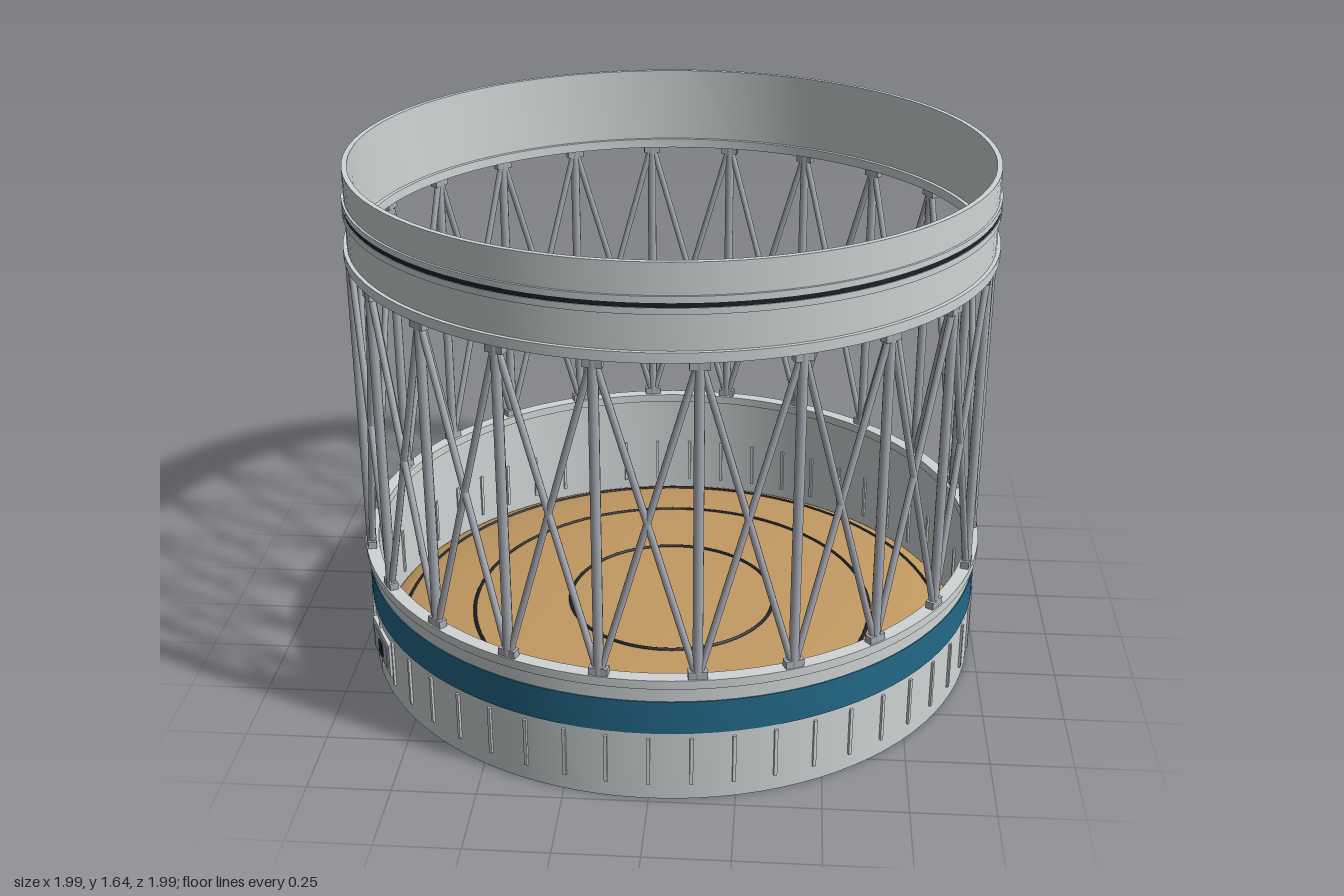
import * as THREE from 'three';
import { toCreasedNormals } from 'three/addons/utils/BufferGeometryUtils.js';

const SEG = 96;
const mat = (name, color, side = THREE.FrontSide) => {
  const m = new THREE.MeshStandardMaterial({ color, side });
  m.name = name;
  return m;
};

export function createModel() {
  const shell = mat('light grey shell', 0xd0d5d6);
  const metal = mat('grey strut metal', 0xa9adb5);
  const blue = mat('blue band', 0x236a8a);
  const tan = mat('tan bulkhead', 0xc39a62, THREE.DoubleSide);
  const dark = mat('dark seal', 0x1c2229);

  const model = new THREE.Group();
  model.name = 'interstage';

  const add = (name, geometry, material, parent = model) => {
    const mesh = new THREE.Mesh(geometry, material);
    mesh.name = name;
    parent.add(mesh);
    return mesh;
  };
  const group = (name) => {
    const g = new THREE.Group();
    g.name = name;
    model.add(g);
    return g;
  };

  // Hollow ring with a rectangular section
  const ring = (name, inner, outer, y0, y1, material) => {
    const section = [[outer, y0], [outer, y1], [inner, y1], [inner, y0], [outer, y0]];
    const lathe = new THREE.LatheGeometry(section.map(([x, y]) => new THREE.Vector2(x, y)), SEG);
    return add(name, toCreasedNormals(lathe, 0.6), material);
  };

  // Point on the wall, angle measured from the front (+z) towards +x
  const polar = (angle, r, y) => new THREE.Vector3(Math.sin(angle) * r, y, Math.cos(angle) * r);

  // Lower and upper skirts
  ring('lowerSkirt', 0.968, 0.984, 0, 0.4, shell);
  ring('upperSkirt', 0.968, 0.984, 1.38, 1.645, shell);
  ring('paintedBand', 0.98, 0.987, 0.225, 0.332, blue);

  // Flanges where the truss joins the skirts
  ring('lowerFlange', 0.955, 0.996, 0.38, 0.408, shell);
  ring('upperFlange', 0.955, 0.996, 1.372, 1.402, shell);

  // Separation joint: two lips around a dark seal
  ring('jointLowerLip', 0.975, 0.991, 1.505, 1.523, shell);
  ring('jointSeal', 0.975, 0.9885, 1.523, 1.537, dark);
  ring('jointUpperLip', 0.975, 0.991, 1.537, 1.555, shell);

  // Shallow domed bulkhead with seam rings
  const domeY = (r) => 0.004 + 0.1 * Math.sqrt(Math.max(0, 1 - (r / 0.972) ** 2));
  const domeProfile = [];
  for (let i = 0; i <= 24; i++) {
    const r = 0.972 * Math.cos((i / 24) * Math.PI / 2);
    domeProfile.push(new THREE.Vector2(i === 24 ? 0 : r, domeY(r)));
  }
  add('bulkhead', new THREE.LatheGeometry(domeProfile, SEG), tan);
  for (const r of [0.34, 0.66, 0.9]) {
    const seam = add('bulkheadSeam', new THREE.TorusGeometry(r, 0.006, 6, SEG), dark);
    seam.rotation.x = Math.PI / 2;
    seam.position.y = domeY(r);
  }

  // Open truss: posts with crossed diagonals in every bay
  const truss = group('truss');
  const BAYS = 22, STEP = Math.PI * 2 / BAYS, R = 0.978, BOTTOM = 0.4, TOP = 1.38;
  const up = new THREE.Vector3(0, 1, 0);
  const rod = (name, from, to, radius) => {
    const dir = to.clone().sub(from);
    const mesh = add(name, new THREE.CylinderGeometry(radius, radius, dir.length(), 10), metal, truss);
    mesh.position.copy(from).add(to).multiplyScalar(0.5);
    mesh.quaternion.setFromUnitVectors(up, dir.normalize());
  };
  for (let i = 0; i < BAYS; i++) {
    const a = (i + 0.5) * STEP, b = a + STEP;
    rod('post', polar(a, R, BOTTOM), polar(a, R, TOP), 0.015);
    rod('diagonal', polar(a, R, BOTTOM), polar(b, R, TOP), 0.0105);
    rod('diagonal', polar(b, R, BOTTOM), polar(a, R, TOP), 0.0105);
    for (const y of [BOTTOM + 0.016, TOP - 0.016]) {
      const node = add('trussNode', new THREE.BoxGeometry(0.055, 0.03, 0.026), metal, truss);
      node.position.copy(polar(a, R, y));
      node.rotation.y = a;
    }
  }

  // Stringers through the lower skirt wall
  const stringers = group('stringers');
  for (let i = 0; i < 50; i++) {
    const a = i * Math.PI * 2 / 50;
    const bar = add('stringer', new THREE.BoxGeometry(0.01, 0.157, 0.03), shell, stringers);
    bar.position.copy(polar(a, 0.976, 0.13));
    bar.rotation.y = a;
  }

  // Access hatch on the front right of the lower skirt
  const hatch = group('accessHatch');
  const hatchAngle = -63.5 * Math.PI / 180;
  hatch.position.copy(polar(hatchAngle, 0.982, 0.138));
  hatch.rotation.y = hatchAngle;
  add('hatchFrame', new THREE.BoxGeometry(0.2, 0.11, 0.024), shell, hatch);
  add('hatchPanel', new THREE.BoxGeometry(0.15, 0.075, 0.03), metal, hatch);
  const slot = add('hatchSlot', new THREE.BoxGeometry(0.04, 0.045, 0.006), dark, hatch);
  slot.position.set(0.01, 0, 0.016);

  return model;
}
